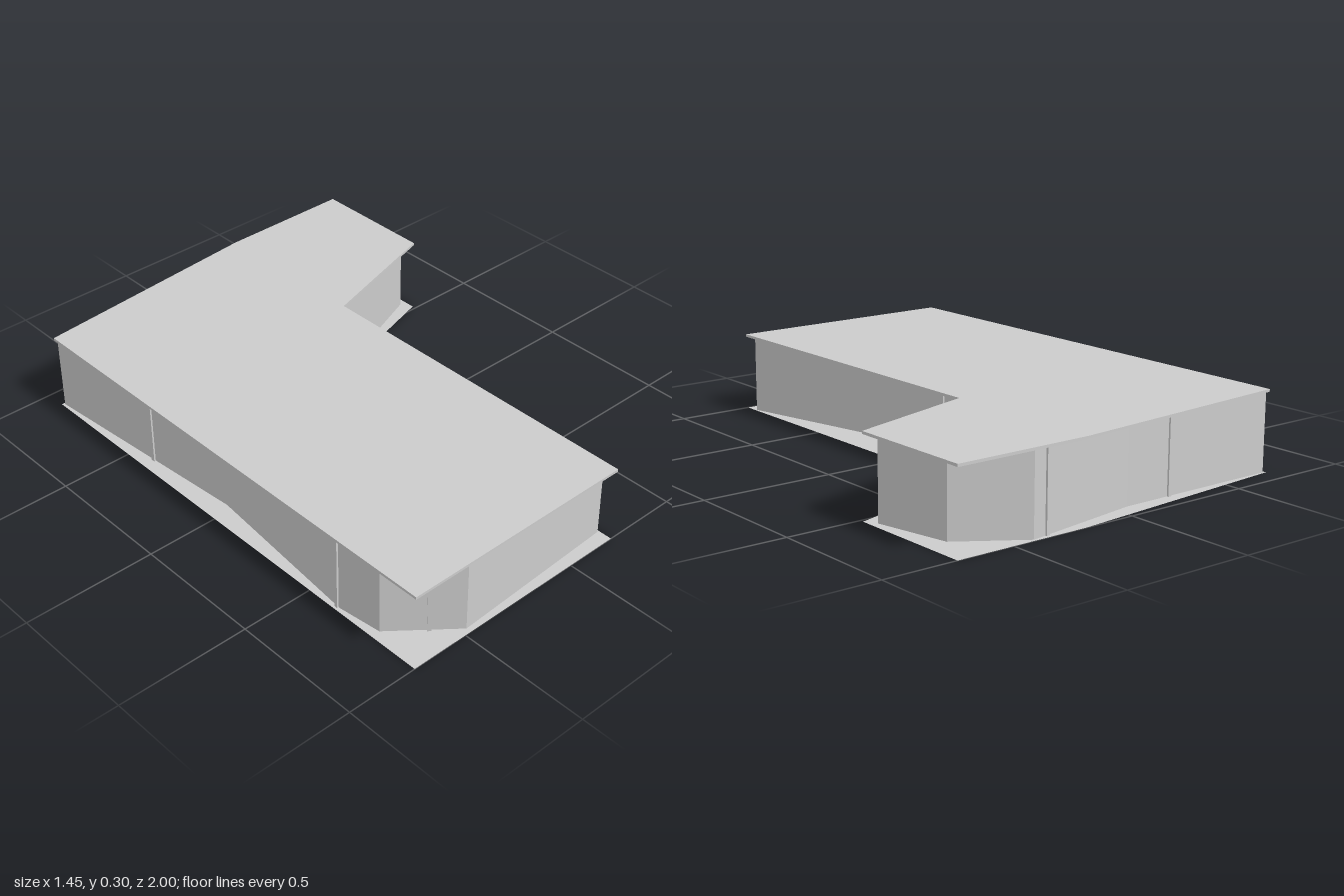
import * as THREE from 'three';

const WALL_TOP = 0.29, ROOF_TOP = 0.3;

// Plan outlines as [x, z]
const slabPlan = [
  [-0.725, 1], [0.205, 1], [0.205, -0.36], [0.72, -0.515],
  [0.72, -1], [0.2, -1], [-0.725, -0.92],
];
const wallPlan = [
  [-0.475, 0.98], [0.198, 0.945], [0.05, 0.3], [0.066, -0.315],
  [0.693, -0.56], [0.635, -0.84], [0.41, -0.99], [-0.06, -0.915],
  [-0.715, -0.913], [-0.645, -0.03], [-0.71, 0.63], [-0.69, 0.8],
];
// Posts: wall segment index and position along it
const posts = [[2, 0.63], [6, 0.13], [7, 0.29], [8, 0.57], [9, 0.985], [11, 0.57]];

// Shape drawn in x and -z, so that rotating it flat faces it upwards
const planShape = (plan) => new THREE.Shape(plan.map(([x, z]) => new THREE.Vector2(x, -z)));

export function createModel() {
  const group = new THREE.Group();
  const material = new THREE.MeshStandardMaterial({
    color: 0xcccccc, flatShading: true, side: THREE.DoubleSide,
  });
  const add = (name, geometry, parent = group) => {
    const mesh = new THREE.Mesh(geometry, material);
    mesh.name = name;
    parent.add(mesh);
    return mesh;
  };

  // Thin ground sheet
  add('floor', new THREE.ShapeGeometry(planShape(slabPlan)).rotateX(-Math.PI / 2));

  // Overhanging flat roof
  const roof = new THREE.ExtrudeGeometry(planShape(slabPlan), {
    depth: ROOF_TOP - WALL_TOP, bevelEnabled: false,
  });
  add('roof', roof.rotateX(-Math.PI / 2).translate(0, WALL_TOP, 0));

  // Wall panels, one per side of the plan
  const walls = new THREE.Group();
  walls.name = 'walls';
  group.add(walls);
  const segment = (i) => {
    const [ax, az] = wallPlan[i], [bx, bz] = wallPlan[(i + 1) % wallPlan.length];
    return { ax, az, dx: bx - ax, dz: bz - az, angle: -Math.atan2(bz - az, bx - ax) };
  };
  wallPlan.forEach((_, i) => {
    const { ax, az, dx, dz, angle } = segment(i);
    const panel = add('wallPanel', new THREE.PlaneGeometry(Math.hypot(dx, dz), WALL_TOP), walls);
    panel.position.set(ax + dx / 2, WALL_TOP / 2, az + dz / 2);
    panel.rotation.y = angle;
  });

  // Slim posts standing slightly proud of the walls
  for (const [i, t] of posts) {
    const { ax, az, dx, dz, angle } = segment(i);
    const post = add('wallPost', new THREE.BoxGeometry(0.014, WALL_TOP, 0.014));
    post.position.set(ax + dx * t, WALL_TOP / 2, az + dz * t);
    post.rotation.y = angle;
  }
  return group;
}
